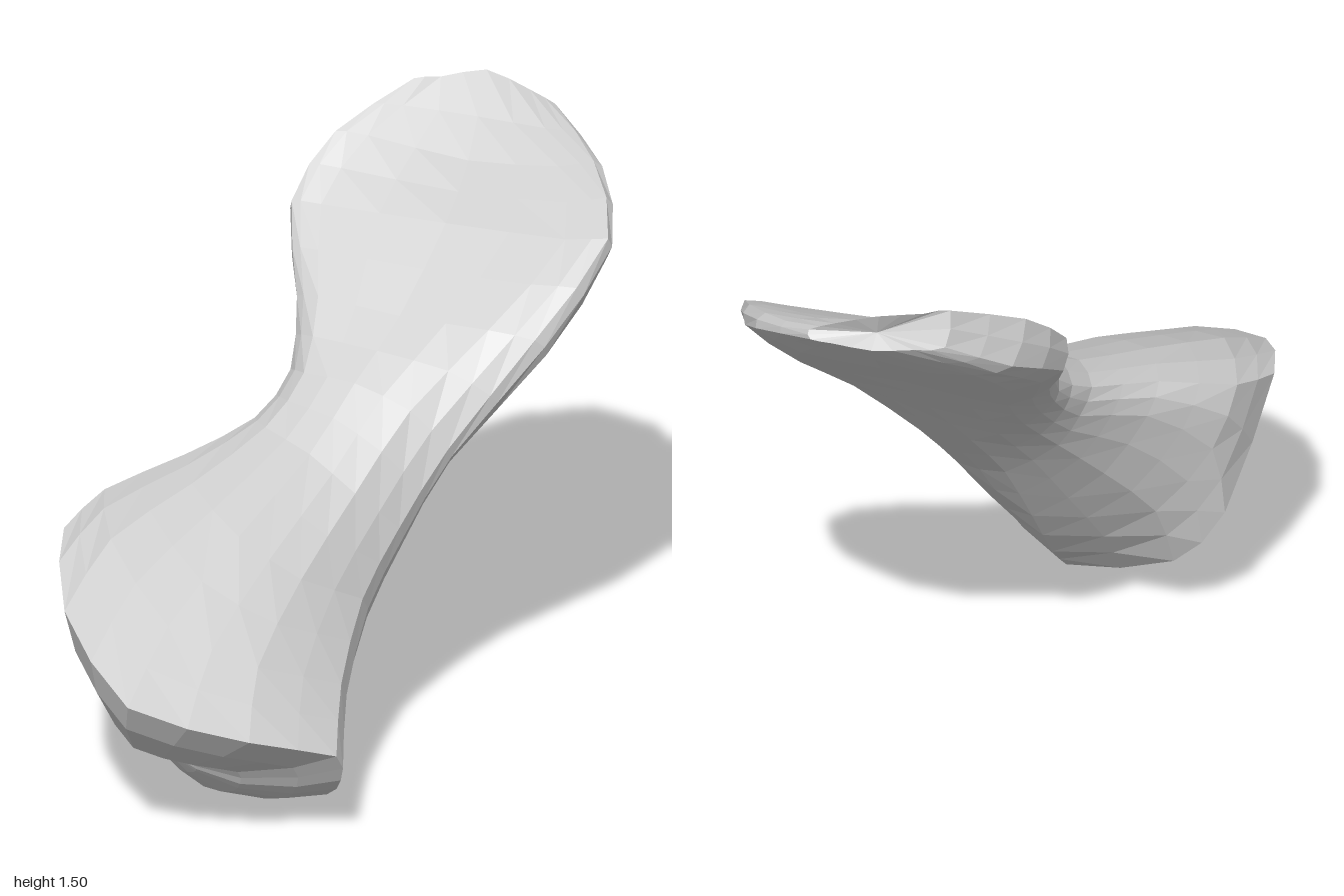
import * as THREE from 'three';

// Cross-sections from the wide front foot to the thin rear paddle.
// Upper half of each: left rim, three points over the top, right rim.
const UPPER = [
  [-.54, .66, .47, -.40, .57, .78, -.12, .43, 1.0, .18, .34, .89, .35, .26, .71],
  [-.50, .71, .30, -.37, .69, .55, -.12, .56, .74, .12, .47, .70, .27, .37, .50],
  [-.34, .775, .14, -.25, .77, .30, -.06, .70, .42, .11, .60, .40, .215, .50, .24],
  [-.22, .83, -.04, -.15, .85, .05, .00, .82, .10, .14, .74, .12, .235, .63, .05],
  [-.18, .92, -.18, -.11, .95, -.11, .04, .95, -.10, .20, .90, -.10, .30, .80, -.12],
  [-.22, 1.07, -.31, -.15, 1.09, -.29, .08, 1.07, -.30, .33, 1.07, -.31, .45, 1.05, -.34],
  [-.32, 1.25, -.50, -.24, 1.25, -.51, .10, 1.24, -.55, .43, 1.24, -.58, .54, 1.25, -.61],
  [-.27, 1.39, -.67, -.19, 1.38, -.70, .08, 1.34, -.74, .32, 1.35, -.78, .40, 1.36, -.83],
  [-.13, 1.49, -.86, -.07, 1.49, -.90, .03, 1.50, -.97, .15, 1.46, -.98, .22, 1.43, -.985],
];
// Lower half: right rim, three points back underneath, left rim.
const LOWER = [
  [.34, .17, .66, .26, .08, .57, .02, .00, .41, -.34, .17, .25, -.48, .34, .26],
  [.25, .28, .44, .19, .19, .38, .00, .13, .25, -.32, .36, .17, -.46, .55, .22],
  [.20, .42, .18, .13, .34, .13, .00, .32, .10, -.22, .52, .05, -.33, .70, .08],
  [.225, .57, .00, .16, .52, -.03, .02, .53, -.05, -.14, .66, -.08, -.20, .76, -.08],
  [.29, .75, -.15, .21, .69, -.18, .06, .70, -.20, -.10, .79, -.22, -.18, .87, -.21],
  [.47, 1.00, -.37, .32, .91, -.38, .10, .90, -.40, -.12, .95, -.40, -.22, 1.00, -.36],
  [.53, 1.19, -.63, .38, 1.10, -.62, .10, 1.10, -.62, -.20, 1.12, -.60, -.33, 1.18, -.55],
  [.42, 1.32, -.85, .30, 1.26, -.83, .08, 1.25, -.82, -.17, 1.27, -.80, -.27, 1.30, -.77],
  [.21, 1.41, -1.0, .15, 1.41, -1.0, .04, 1.41, -1.0, -.06, 1.405, -.95, -.13, 1.40, -.90],
];
const SIDES = 20, STEPS = 16;

function bodyRings() {
  // Smooth each section into a closed ring, then smooth along the length.
  const sections = UPPER.map((up, s) => {
    const flat = up.concat(LOWER[s]);
    const pts = [];
    for (let k = 0; k < flat.length; k += 3) pts.push(new THREE.Vector3().fromArray(flat, k));
    const curve = new THREE.CatmullRomCurve3(pts, true, 'catmullrom', 0.35);
    return Array.from({ length: SIDES }, (_, j) => curve.getPoint(j / SIDES));
  });
  const rails = sections[0].map((_, j) =>
    new THREE.CatmullRomCurve3(sections.map((ring) => ring[j]), false, 'catmullrom', 0.4));
  return Array.from({ length: STEPS + 1 }, (_, i) => rails.map((rail) => rail.getPoint(i / STEPS)));
}

function centreOf(ring) {
  const c = new THREE.Vector3();
  ring.forEach((p) => c.add(p));
  return c.divideScalar(ring.length);
}

// Shrunken copies of the foot rim, pushed out to form a shallow dome.
function domeRings(rim) {
  const centre = centreOf(rim);
  const outward = new THREE.Vector3(-.46, -.76, .46);
  return [[.22, .17], [.5, .145], [.8, .075]].map(([scale, push]) =>
    rim.map((p) => centre.clone().lerp(p, scale).addScaledVector(outward, push)));
}

function loftGeometry() {
  const body = bodyRings();
  const rings = [...domeRings(body[0]), ...body];
  const last = rings.length - 1;
  const points = rings.flat();
  const front = points.push(centreOf(rings[0])) - 1;
  const back = points.push(centreOf(rings[last])) - 1;
  const index = [];
  for (let j = 0; j < SIDES; j++) {
    const n = (j + 1) % SIDES;
    for (let i = 0; i < last; i++) {
      const a = i * SIDES + j, b = i * SIDES + n;
      index.push(a, b, a + SIDES, b, b + SIDES, a + SIDES);
    }
    // Close both ends
    index.push(front, n, j);
    index.push(back, last * SIDES + j, last * SIDES + n);
  }
  const geometry = new THREE.BufferGeometry().setFromPoints(points);
  geometry.setIndex(index);
  geometry.computeVertexNormals();
  return geometry;
}

export function createModel() {
  const paleGrey = new THREE.MeshStandardMaterial({ color: 0xcccccc, flatShading: true });
  paleGrey.name = 'paleGrey';
  const bone = new THREE.Mesh(loftGeometry(), paleGrey);
  bone.name = 'boneBody';
  const group = new THREE.Group();
  group.name = 'flaredBone';
  group.add(bone);
  return group;
}
